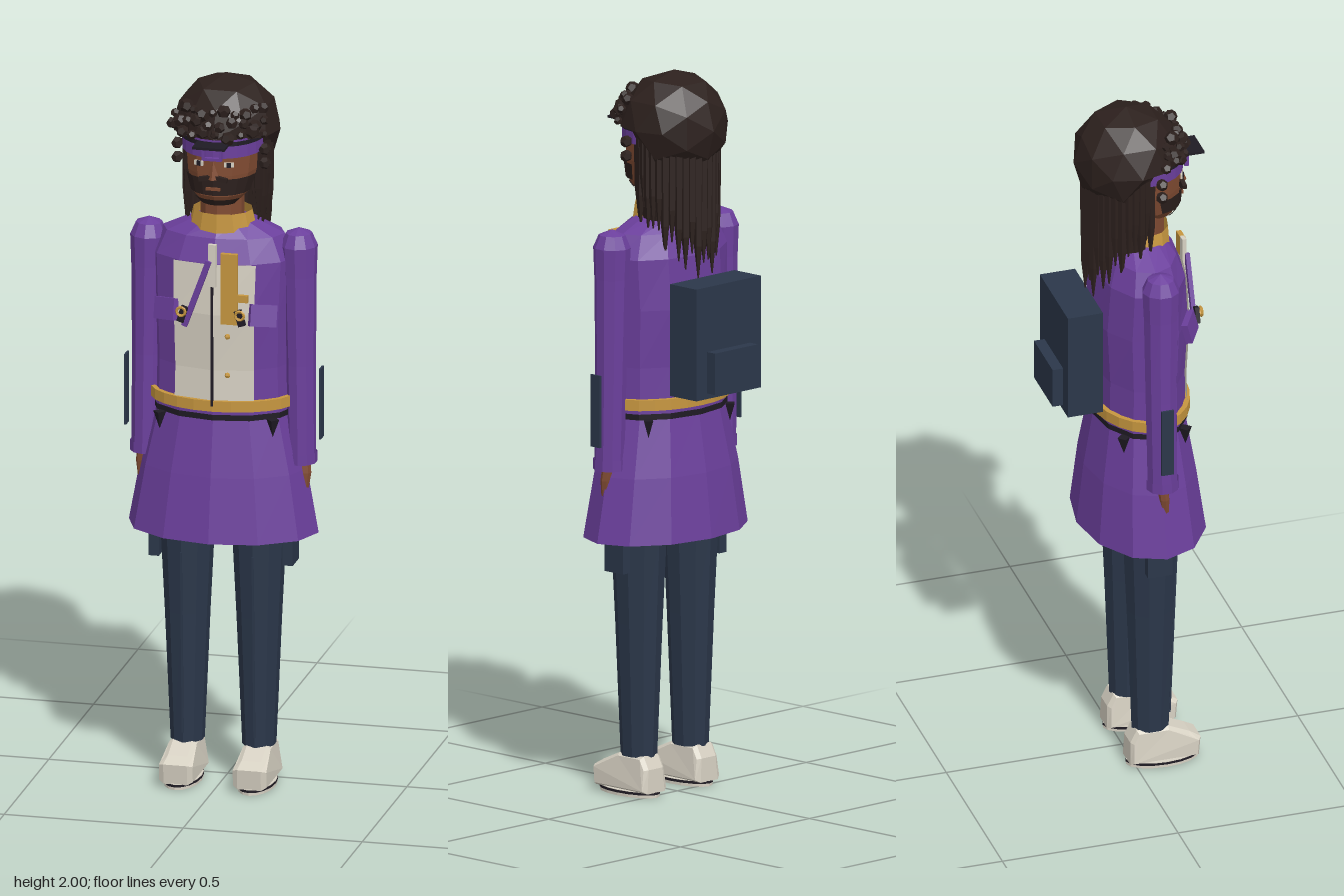
import * as THREE from 'three';

const paint = (name, color) => new THREE.MeshStandardMaterial({ name, color, flatShading: true, side: THREE.DoubleSide });

export function createModel() {
  const purple = paint('purple cloth', 0x6b3f9c);
  const navy = paint('navy cloth', 0x2b374a);
  const hair = paint('dark brown hair', 0x2c201d);
  const skin = paint('brown skin', 0x804b32);
  const gold = paint('gold', 0xc6963f);
  const cream = paint('cream', 0xd6d0c2);
  const black = paint('black', 0x1f1b24);

  const root = new THREE.Group();
  root.name = 'figure';

  function add(name, geo, mat, x = 0, y = 0, z = 0, parent = root) {
    const m = new THREE.Mesh(geo, mat);
    m.name = name;
    m.position.set(x, y, z);
    parent.add(m);
    return m;
  }
  const box = (name, mat, w, h, d, x, y, z, parent) => add(name, new THREE.BoxGeometry(w, h, d), mat, x, y, z, parent);

  // Elliptical rings [y, rx, rz, zc] joined upward; angle 0 faces +z
  function loft(rings, seg = 12, a0 = -180, a1 = 180, grow = 0) {
    const pos = [], idx = [];
    rings.forEach(([y, rx, rz, zc]) => {
      for (let i = 0; i <= seg; i++) {
        const a = THREE.MathUtils.degToRad(a0 + (a1 - a0) * i / seg);
        pos.push((rx + grow) * Math.sin(a), y, zc + (rz + grow) * Math.cos(a));
      }
    });
    for (let j = 0; j < rings.length - 1; j++) {
      for (let i = 0; i < seg; i++) {
        const a = j * (seg + 1) + i, b = a + seg + 1;
        idx.push(a, a + 1, b + 1, a, b + 1, b);
      }
    }
    const g = new THREE.BufferGeometry();
    g.setAttribute('position', new THREE.Float32BufferAttribute(pos, 3));
    g.setIndex(idx);
    g.computeVertexNormals();
    return g;
  }

  // Jacket body, shirt front and flared skirt
  const C = 0.042;
  add('jacket', loft([
    [1.06, 0.193, 0.125, C], [1.2, 0.19, 0.122, C], [1.36, 0.194, 0.132, C], [1.5, 0.2, 0.122, C],
    [1.565, 0.17, 0.098, C], [1.6, 0.09, 0.07, C], [1.6, 0, 0, C]]), purple);
  add('shirtFront', loft([
    [1.1, 0.193, 0.125, C], [1.2, 0.19, 0.122, C], [1.36, 0.194, 0.132, C], [1.5, 0.2, 0.122, C]],
    2, -34, 34, 0.006), cream);
  add('skirt', loft([[0.72, 0.265, 0.175, 0.045], [0.9, 0.232, 0.152, C], [1.07, 0.19, 0.123, C]]), purple);
  add('belt', loft([[1.085, 0.196, 0.13, C], [1.085, 0.203, 0.137, C], [1.115, 0.203, 0.137, C], [1.115, 0.19, 0.122, C]], 24), gold);
  add('lowerBelt', loft([[1.058, 0.198, 0.13, C], [1.074, 0.198, 0.13, C]], 12), black);
  box('shirtPlacket', black, 0.006, 0.4, 0.008, 0, 1.3, 0.176);
  for (const y of [1.19, 1.3, 1.4]) {
    add('shirtButton', new THREE.SphereGeometry(0.008, 6, 4), gold, 0.042, y, 0.173);
  }

  // Neck and standing collar
  add('neck', loft([[1.56, 0.06, 0.06, 0.06], [1.7, 0.06, 0.06, 0.06]], 10), skin);
  add('collar', loft([[1.555, 0.1, 0.082, 0.05], [1.63, 0.082, 0.072, 0.055]], 12), gold);

  // Lapel details: strap, clip, pen and rings
  box('chestStrap', gold, 0.046, 0.2, 0.014, 0.05, 1.44, 0.184);
  box('strapClip', gold, 0.03, 0.02, 0.012, 0.087, 1.415, 0.184);
  box('neckTie', cream, 0.022, 0.12, 0.012, 0, 1.5, 0.174);
  box('chestPen', purple, 0.016, 0.2, 0.012, -0.042, 1.42, 0.182).rotation.z = -0.35;
  for (const s of [-1, 1]) {
    add('lapelRing', new THREE.TorusGeometry(0.012, 0.004, 5, 10), gold, s * 0.082, 1.37, 0.198);
    box('lapelTab', black, 0.02, 0.045, 0.012, s * 0.08, 1.36, 0.187).rotation.z = s * 0.3;
    const flap = box('chestPocketFlap', purple, 0.075, 0.06, 0.018, s * 0.135, 1.36, 0.15);
    flap.rotation.set(-0.25, s * 0.55, 0);
    for (const z of [0.13, -0.045]) {
      const tip = add('beltTip', new THREE.ConeGeometry(0.018, 0.05, 4), black, s * 0.158, 1.035, z);
      tip.rotation.x = Math.PI;
    }
  }

  // Arms, legs and shoes, mirrored
  const shoeShape = new THREE.Shape([[-0.02, 0.014], [0.175, 0.014], [0.18, 0.07], [0.15, 0.088], [0.09, 0.115], [0, 0.115], [-0.018, 0.08]]
    .map(p => new THREE.Vector2(...p)));
  for (const s of [-1, 1]) {
    const arm = new THREE.Group();
    arm.name = s > 0 ? 'leftArm' : 'rightArm';
    arm.position.set(s * 0.228, 0, 0.043);
    root.add(arm);
    add('sleeve', loft([
      [0.92, 0.04, 0.042, 0.003], [1.2, 0.042, 0.044, 0], [1.45, 0.047, 0.048, 0], [1.535, 0.051, 0.052, 0],
      [1.57, 0.036, 0.037, 0], [1.585, 0, 0, 0]], 10), purple, 0, 0, 0, arm).rotation.z = s * 0.012;
    add('cuff', loft([[0.92, 0, 0, 0], [0.92, 0.043, 0.045, 0], [0.95, 0.043, 0.045, 0]], 10), purple, -s * 0.011, 0, 0.003, arm);
    add('hand', loft([[0.82, 0, 0, 0.008], [0.835, 0.014, 0.012, 0.008], [0.89, 0.022, 0.016, 0.004], [0.93, 0.018, 0.016, 0]], 8),
      skin, -s * 0.005, 0, 0, arm);
    box('sleevePatch', navy, 0.006, 0.2, 0.035, s * 0.044, 1.09, 0, arm);

    const leg = new THREE.Group();
    leg.name = s > 0 ? 'leftLeg' : 'rightLeg';
    leg.position.x = s * 0.1;
    root.add(leg);
    add('trouserLeg', loft([
      [0.11, 0, 0, 0.048], [0.11, 0.046, 0.053, 0.048], [0.48, 0.062, 0.067, 0.048], [0.72, 0.074, 0.078, 0.048],
      [1.0, 0.082, 0.085, 0.045]], 10), navy, 0, 0, 0, leg);
    box('trouserCrease', navy, 0.005, 0.52, 0.006, 0, 0.4, 0.113, leg).rotation.x = 0.04;
    box('thighPocket', navy, 0.028, 0.16, 0.07, s * 0.087, 0.71, 0.045, leg);

    const upper = new THREE.ExtrudeGeometry(shoeShape, { depth: 0.066, bevelEnabled: true, bevelThickness: 0.014, bevelSize: 0.008, bevelOffset: -0.008, bevelSegments: 1 });
    upper.translate(0, 0, -0.033).rotateY(-Math.PI / 2);
    // Narrow the shoe toward its top
    const p = upper.attributes.position;
    for (let i = 0; i < p.count; i++) if (p.getY(i) > 0.075) p.setX(i, p.getX(i) * 0.82);
    add('shoe', upper, cream, s * 0.003, 0, 0, leg);
    add('sole', loft([[0, 0, 0, 0.08], [0, 0.05, 0.102, 0.08], [0.016, 0.05, 0.102, 0.08], [0.016, 0, 0, 0.08]], 16), cream, s * 0.003, 0, 0, leg);
    add('soleLine', loft([[0.008, 0.051, 0.103, 0.08], [0.015, 0.051, 0.103, 0.08]], 16), black, s * 0.003, 0, 0, leg);
  }

  // Head and face
  add('head', loft([
    [1.655, 0, 0, 0.08], [1.66, 0.048, 0.055, 0.085], [1.69, 0.078, 0.085, 0.073], [1.75, 0.097, 0.105, 0.056],
    [1.82, 0.104, 0.115, 0.046], [1.9, 0.098, 0.108, 0.035]], 12), skin);
  add('nose', new THREE.ConeGeometry(0.018, 0.05, 4), skin, 0, 1.768, 0.165);
  add('beard', loft([[1.695, 0.08, 0.087, 0.072], [1.742, 0.095, 0.103, 0.058]], 8, -80, 80, 0.005), hair);
  add('chinBeard', loft([[1.662, 0.05, 0.057, 0.084], [1.68, 0.069, 0.075, 0.077]], 6, -60, 60, 0.004), hair);
  box('mouth', skin, 0.04, 0.008, 0.006, 0, 1.715, 0.166);
  for (const s of [-1, 1]) {
    box('eye', cream, 0.026, 0.013, 0.006, s * 0.042, 1.784, 0.156).rotation.y = s * 0.3;
    box('pupil', black, 0.011, 0.013, 0.006, s * 0.042, 1.784, 0.159).rotation.y = s * 0.3;
    box('moustache', hair, 0.04, 0.012, 0.012, s * 0.02, 1.745, 0.166).rotation.z = -s * 0.2;
  }

  // Headband with a raised square buckle
  add('headband', loft([[1.803, 0.104, 0.115, 0.046], [1.855, 0.104, 0.115, 0.046]], 12, -100, 100, 0.008), purple);
  add('bandEdge', loft([[1.838, 0.104, 0.115, 0.046], [1.85, 0.104, 0.115, 0.046]], 12, -100, 100, 0.011), black);
  for (const s of [-1, 1]) {
    box('buckleSide', purple, 0.008, 0.04, 0.012, s * 0.024, 1.82, 0.176);
    box('buckleBar', purple, 0.052, 0.008, 0.012, 0, 1.82 + s * 0.017, 0.176);
  }
  box('visorPeak', black, 0.09, 0.007, 0.06, 0, 1.845, 0.19);

  // Hair cap, lifted over the face
  const cap = new THREE.IcosahedronGeometry(0.15, 1);
  const cp = cap.attributes.position;
  for (let i = 0; i < cp.count; i++) {
    if (cp.getZ(i) > 0.02 && cp.getY(i) < 0) cp.setY(i, Math.max(cp.getY(i), 0));
  }
  add('hairCap', cap, hair, 0, 1.85, 0.012);

  // Curls along the brow
  for (let i = 0; i < 30; i++) {
    const row = i % 3, a = -1.15 + 2.3 * i / 29;
    const r = [0.148, 0.142, 0.126][row];
    const curl = add('curl', new THREE.DodecahedronGeometry(0.016 + 0.004 * Math.sin(i * 5.3)), hair,
      r * Math.sin(a), 1.868 + row * 0.028 + 0.008 * Math.sin(i * 2.7), 0.022 + r * Math.cos(a));
    curl.rotation.set(i, i * 2, 0);
  }
  for (const s of [-1, 1]) for (const y of [1.77, 1.81]) {
    add('templeCurl', new THREE.DodecahedronGeometry(0.017), hair, s * 0.122, y, 0.075);
  }

  // Long hair: a curtain around the back with hanging locks
  add('hairCurtain', loft([[1.6, 0.105, 0.085, 0], [1.72, 0.113, 0.1, 0], [1.85, 0.12, 0.11, 0]], 12, 65, 295), hair);
  for (let i = 0; i < 25; i++) {
    const a = THREE.MathUtils.degToRad(60 + 240 * i / 24);
    const back = Math.max(0, -Math.cos(a));
    const end = 1.6 - 0.13 * back + 0.035 * Math.sin(i * 3.9);
    const x = 0.113 * Math.sin(a), z = 0.1 * Math.cos(a);
    const lock = loft([[end, 0.002, 0.002, 0], [end + 0.09, 0.012, 0.012, 0], [1.85, 0.014, 0.014, 0]], 5);
    add('hairLock', lock, hair, x, 0, z);
  }

  // Backpack with front pocket and straps
  box('backpack', navy, 0.25, 0.31, 0.1, 0, 1.285, -0.144);
  box('backpackPocket', navy, 0.166, 0.115, 0.03, 0, 1.203, -0.209);

  return root;
}
